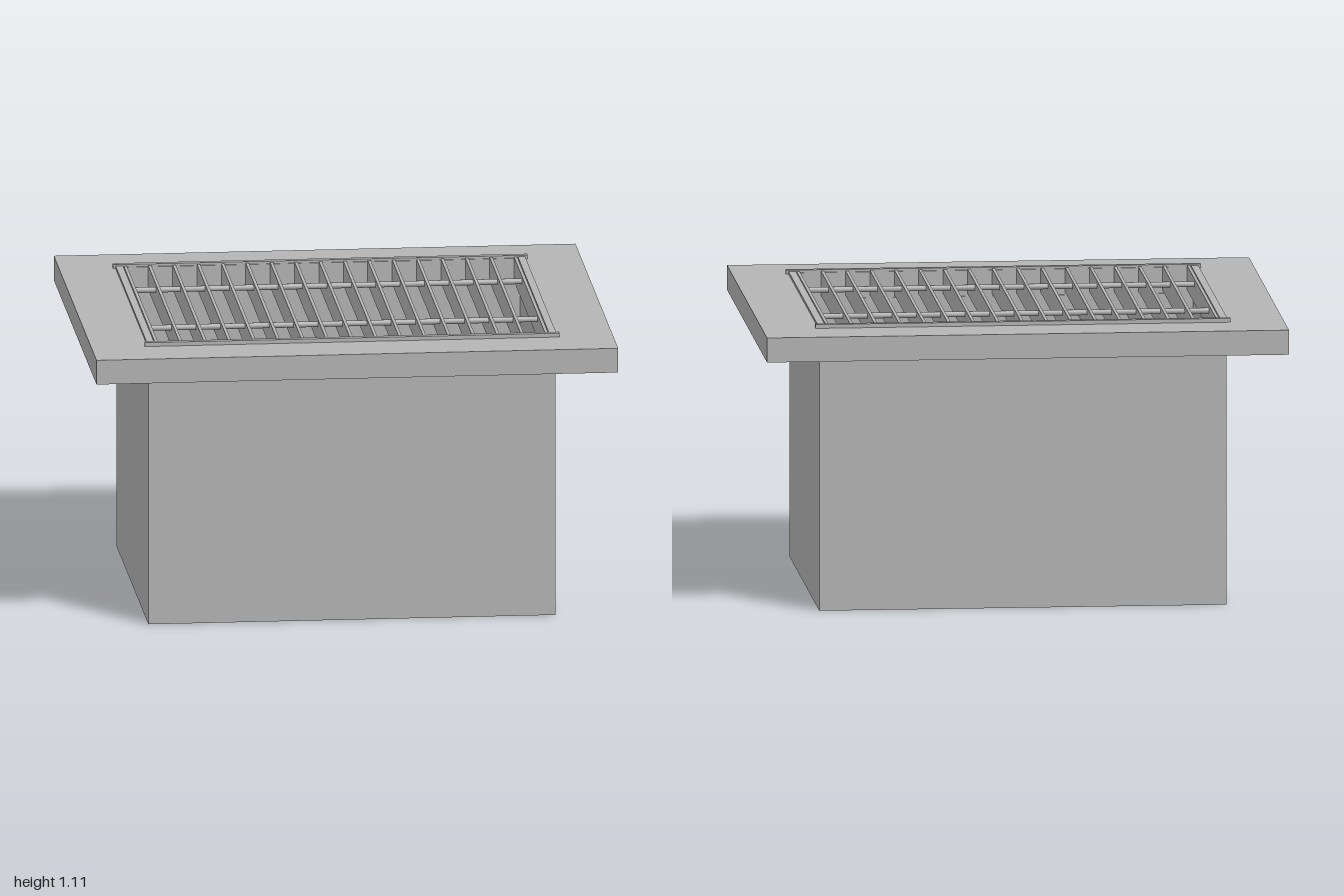
import * as THREE from 'three';

export function createModel() {
  const group = new THREE.Group();
  const concrete = new THREE.MeshStandardMaterial({ color: 0xb4b4b4 });
  concrete.name = 'grey';

  // Box given by its minimum and maximum corners
  const box = (name, x0, x1, y0, y1, z0, z1) => {
    const mesh = new THREE.Mesh(new THREE.BoxGeometry(x1 - x0, y1 - y0, z1 - z0), concrete);
    mesh.position.set((x0 + x1) / 2, (y0 + y1) / 2, (z0 + z1) / 2);
    mesh.name = name;
    group.add(mesh);
    return mesh;
  };

  // Rectangular ring lying flat, extruded upwards from y0 to y1
  const ring = (name, outX, outZ, inX, inZ, y0, y1) => {
    const rect = (Type, x, z) => {
      const p = new Type();
      p.moveTo(-x, -z).lineTo(x, -z).lineTo(x, z).lineTo(-x, z).closePath();
      return p;
    };
    const shape = rect(THREE.Shape, outX, outZ);
    shape.holes.push(rect(THREE.Path, inX, inZ));
    const geometry = new THREE.ExtrudeGeometry(shape, { depth: y1 - y0, bevelEnabled: false });
    geometry.rotateX(-Math.PI / 2);
    const mesh = new THREE.Mesh(geometry, concrete);
    mesh.position.y = y0;
    mesh.name = name;
    group.add(mesh);
  };

  // Basin: thin walls and a floor
  ring('basinWalls', 0.78, 0.625, 0.765, 0.61, 0, 1.0);
  box('basinFloor', -0.77, 0.77, 0, 0.012, -0.615, 0.615);

  // Hollow rim: top plate, outer skirt and inner collar
  ring('rimPlate', 1, 0.843, 0.785, 0.615, 1.085, 1.095);
  ring('rimSkirt', 1, 0.843, 0.992, 0.835, 1.0, 1.09);
  ring('rimCollar', 0.795, 0.637, 0.785, 0.615, 1.0, 1.09);

  // Ribs under the rim, running out from the collar corners
  for (const sx of [-1, 1]) for (const sz of [-1, 1]) {
    const x = 0.79 * sx, z = 0.632 * sz;
    const ex = 0.995 * sx, ez = 0.838 * sz;
    box('rimRibX', Math.min(x, ex), Math.max(x, ex), 1.0, 1.088, z - 0.005, z + 0.005);
    box('rimRibZ', x - 0.005, x + 0.005, 1.0, 1.088, Math.min(z, ez), Math.max(z, ez));
  }

  // Grate frame
  for (const s of [-1, 1]) {
    box('grateEndBar', -0.795, 0.795, 1.09, 1.11, 0.629 * s - 0.012, 0.629 * s + 0.012);
    box('grateEndPlate', -0.785, 0.785, 1.0, 1.1, 0.616 * s - 0.004, 0.616 * s + 0.004);
    box('grateSideBar', 0.771 * s - 0.014, 0.771 * s + 0.014, 1.0, 1.105, -0.617, 0.617);
  }

  // Grate slats
  const slats = 17, pitch = 0.0935;
  for (let i = 0; i < slats; i++) {
    const x = (i - (slats - 1) / 2) * pitch;
    box('grateSlat', x - 0.006, x + 0.006, 1.01, 1.105, -0.613, 0.613);
  }

  // Cross rods through the slats
  for (const z of [-0.305, 0.305]) {
    const rod = new THREE.Mesh(new THREE.CylinderGeometry(0.011, 0.011, 1.51, 10), concrete);
    rod.rotation.z = Math.PI / 2;
    rod.position.set(0, 1.085, z);
    rod.name = 'grateCrossRod';
    group.add(rod);
  }

  return group;
}
